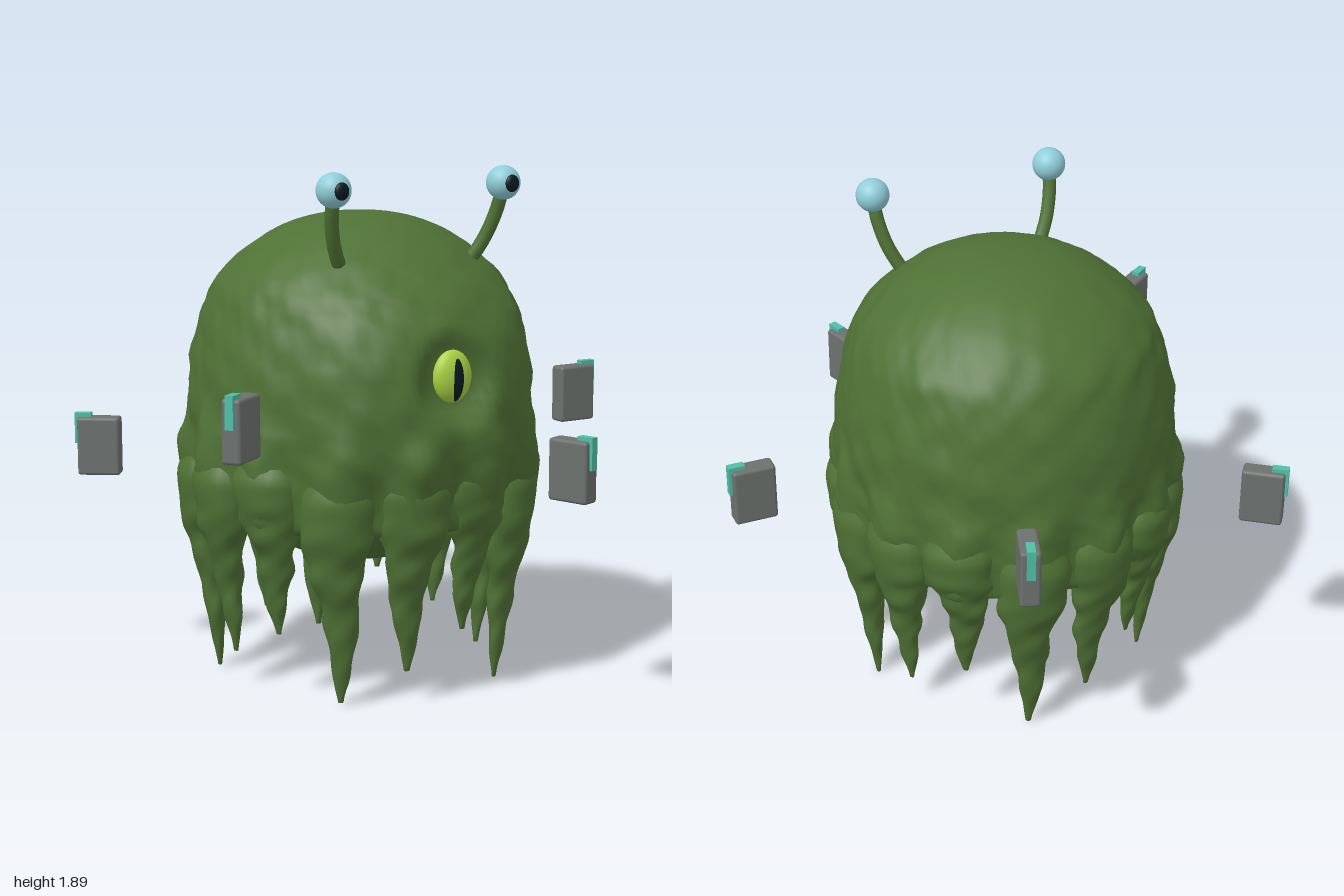
import * as THREE from 'three';
import { mergeVertices } from 'three/addons/utils/BufferGeometryUtils.js';
import { RoundedBoxGeometry } from 'three/addons/geometries/RoundedBoxGeometry.js';

const CENTRE_X = -0.1;
const smooth = THREE.MathUtils.smoothstep;

const material = (name, color) => {
  const m = new THREE.MeshStandardMaterial({ color });
  m.name = name;
  return m;
};

// Moves every vertex by a rule, then welds seams for smooth normals
function reshape(geometry, rule) {
  geometry.deleteAttribute('uv');
  geometry.deleteAttribute('normal');
  const p = geometry.attributes.position;
  const v = new THREE.Vector3();
  for (let i = 0; i < p.count; i++) {
    v.fromBufferAttribute(p, i);
    rule(v);
    p.setXYZ(i, v.x, v.y, v.z);
  }
  const g = mergeVertices(geometry, 1e-4);
  g.computeVertexNormals();
  return g;
}

// Softened lookup in [key, value] pairs
function lookup(table, t) {
  for (let i = 1; i < table.length; i++) {
    const [a, va] = table[i - 1], [b, vb] = table[i];
    if (t <= b) return THREE.MathUtils.lerp(va, vb, smooth(t, a, b) * 0.4 + (t - a) / (b - a) * 0.6);
  }
  return table[table.length - 1][1];
}

// Gentle lumps for the skin
const lumps = (x, y, z) =>
  Math.sin(x * 23 + y * 9) * Math.sin(y * 27 - z * 11) * Math.sin(z * 25 + x * 7) +
  0.5 * Math.sin(x * 51 + z * 17) * Math.sin(y * 47 + x * 13) * Math.sin(z * 49 - y * 19);

export function createModel() {
  const model = new THREE.Group();
  model.name = 'tentacledCreature';

  const skin = material('green skin', 0x4f7135);
  const eyeBlue = material('pale blue eye', 0x90ced9);
  const eyeLime = material('lime eye', 0xaad243);
  const dark = material('dark pupil', 0x0b1a20);
  const grey = material('grey block', 0x6c716e);
  const teal = material('teal tab', 0x50bfa5);

  const creature = new THREE.Group();
  creature.name = 'creature';
  creature.position.x = CENTRE_X;
  model.add(creature);

  const add = (parent, name, geometry, mat, x = 0, y = 0, z = 0) => {
    const mesh = new THREE.Mesh(geometry, mat);
    mesh.name = name;
    mesh.position.set(x, y, z);
    parent.add(mesh);
    return mesh;
  };

  // Body: round belly, scalloped skirt, dome, swollen face and a flat socket for the main eye
  const tips = [0.01, 0.13, 0.01, 0.25, 0.13, 0.02, 0.25, 0.14, 0.02, 0.25, 0.13, 0.02, 0.25, 0.13];
  const profile = new THREE.CatmullRomCurve3([
    [0, 0.445], [0.14, 0.452], [0.25, 0.482], [0.34, 0.535], [0.42, 0.6], [0.49, 0.65], [0.56, 0.628], [0.61, 0.645],
    [0.628, 0.75], [0.637, 0.88], [0.635, 1.0], [0.62, 1.2], [0.575, 1.38], [0.53, 1.48], [0.42, 1.59],
    [0.28, 1.675], [0.13, 1.718], [0, 1.725],
  ].map(([r, y]) => new THREE.Vector3(r, y, 0)));
  const outline = profile.getPoints(85).map((p) => new THREE.Vector2(Math.max(p.x, 0), p.y));
  outline[0].x = outline[outline.length - 1].x = 0;
  const body = reshape(new THREE.LatheGeometry(outline, 140), (v) => {
    const r = Math.hypot(v.x, v.z);
    const skirt = smooth(r, 0.46, 0.58) * smooth(v.y, 0.5, 0.62) * (1 - smooth(v.y, 0.84, 1.08));
    const scallop = 0.4 + Math.cos(Math.atan2(v.z, v.x) * tips.length);
    const scale = 1 + 0.042 * scallop * skirt + 0.016 * lumps(v.x, v.y, v.z) * smooth(r, 0, 0.2);
    v.x *= scale;
    v.z *= scale;
    if (v.z > 0) {
      const across = 1 - smooth(Math.abs(v.x), 0.34, 0.56);
      const upDown = smooth(v.y, 0.65, 1.0) * (1 - smooth(v.y, 1.28, 1.56));
      v.z += 0.053 * across * upDown * smooth(v.z, 0.1, 0.45);
      if (v.z > 0.4) v.z += (0.612 - v.z) * (1 - smooth(Math.hypot(v.x, v.y - 1.2), 0.095, 0.19));
    }
  });
  add(creature, 'body', body, skin);

  // Ring of tapering, slightly crooked tentacles
  const width = [[0, 0.03], [0.1, 0.09], [0.24, 0.136], [0.38, 0.128], [0.5, 0.095], [0.65, 0.067], [0.82, 0.045], [1, 0.01]];
  const reach = [[0, 0.56], [0.1, 0.572], [0.24, 0.584], [0.45, 0.578], [0.75, 0.545], [1, 0.53]];
  tips.forEach((tip, i) => {
    const geometry = reshape(new THREE.CylinderGeometry(1, 1, 1, 18, 40), (v) => {
      const t = 0.5 - v.y;
      const angle = Math.atan2(v.z, v.x);
      const rough = 1 + smooth(t, 0.25, 0.5) *
        (0.06 * Math.sin(t * 33 + i * 1.7) + 0.06 * Math.sin(angle * 2 + t * 27 + i) + 0.04 * Math.sin(angle * 3 - t * 45 + i * 2));
      const w = lookup(width, t) * rough;
      v.set(lookup(reach, t) + v.x * w * 0.72, THREE.MathUtils.lerp(1.0, tip, t),
        v.z * w + 0.04 * Math.sin(t * 9 + i * 2) * t * (1 - t));
    });
    add(creature, 'tentacle', geometry, skin).rotation.y = -(i / tips.length) * Math.PI * 2;
  });

  // Main eye with a slit pupil lying on its surface
  const ball = new THREE.SphereGeometry(1, 32, 20);
  const [eyeW, eyeH, eyeD] = [0.076, 0.093, 0.042];
  add(creature, 'mainEye', ball, eyeLime, 0, 1.198, 0.62).scale.set(eyeW, eyeH, eyeD);
  const slit = reshape(new THREE.RingGeometry(0.001, 1, 32, 8), (v) => {
    v.x *= 0.02;
    v.y = v.y * 0.076 - 0.01;
    v.z = eyeD * Math.sqrt(Math.max(0, 1 - (v.x / eyeW) ** 2 - (v.y / eyeH) ** 2)) + 0.004;
  });
  add(creature, 'mainPupil', slit, dark, 0, 1.198, 0.62);

  // Mirrored eye stalks
  for (const side of [-1, 1]) {
    const stalkEye = new THREE.Group();
    stalkEye.name = side > 0 ? 'leftStalkEye' : 'rightStalkEye';
    creature.add(stalkEye);
    const path = new THREE.CatmullRomCurve3([
      [0.25, 1.53, 0.3], [0.278, 1.57, 0.325], [0.318, 1.65, 0.355], [0.343, 1.74, 0.385], [0.352, 1.82, 0.41],
    ].map(([x, y, z]) => new THREE.Vector3(x * side, y, z)));
    add(stalkEye, 'stalk', new THREE.TubeGeometry(path, 24, 0.025, 12), skin);
    add(stalkEye, 'eyeball', ball, eyeBlue, 0.352 * side, 1.841, 0.414).scale.setScalar(0.062);
    add(stalkEye, 'pupil', ball, dark, 0.352 * side, 1.841, 0.469).scale.set(0.028, 0.031, 0.015);
  }

  // Five floating blocks around the creature, each with a tab on its outer top corner
  const blockGeometry = new RoundedBoxGeometry(0.16, 0.22, 0.072, 2, 0.012);
  const tabGeometry = new THREE.BoxGeometry(0.062, 0.115, 0.03);
  [0.962, 0.885, 1.084, 0.839, 1.035].forEach((y, i) => {
    const block = new THREE.Group();
    block.name = 'floatingBlock';
    const angle = (i / 5) * Math.PI * 2;
    block.position.set(Math.cos(angle) * 0.988, y, Math.sin(angle) * 0.962);
    block.rotation.y = -angle;
    creature.add(block);
    add(block, 'block', blockGeometry, grey);
    add(block, 'tab', tabGeometry, teal, 0.06, 0.067, 0);
  });

  return model;
}
